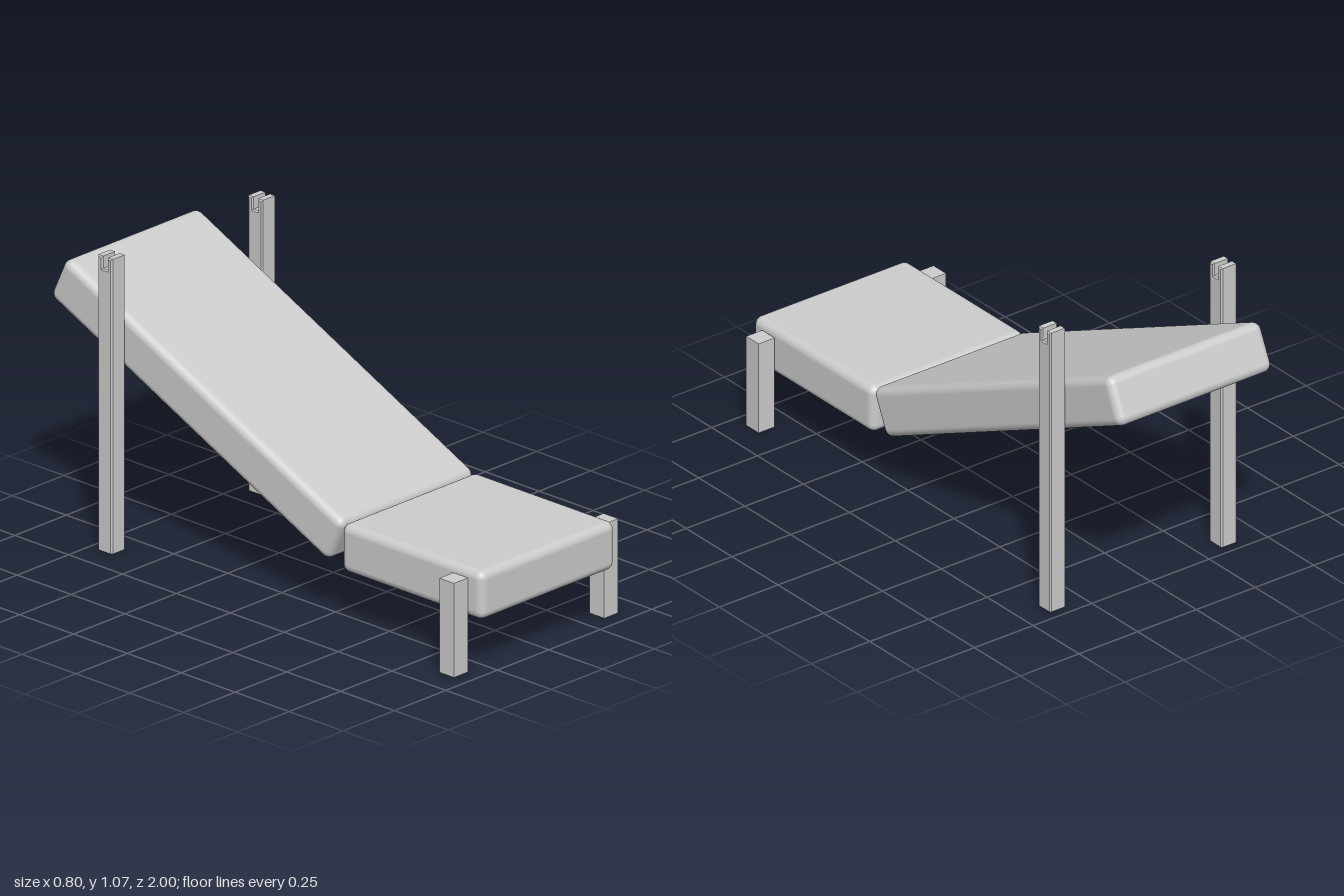
import * as THREE from 'three';
import { RoundedBoxGeometry } from 'three/addons/geometries/RoundedBoxGeometry.js';

const material = new THREE.MeshStandardMaterial({ color: 0xcccccc });

function addMesh(group, name, geometry, x, y, z) {
  const mesh = new THREE.Mesh(geometry, material);
  mesh.name = name;
  mesh.position.set(x, y, z);
  group.add(mesh);
  return mesh;
}

// Tall post: notched side profile extruded across x, bevelled edges, open at the foot
function postGeometry(width, height, notchWidth, notchDepth, bevel) {
  const h = width / 2 - bevel;
  const n = notchWidth / 2 + bevel;
  const top = height - bevel;
  const floor = height - notchDepth - bevel;
  const shape = new THREE.Shape([
    [-h, 0], [h, 0], [h, top], [n, top], [n, floor], [-n, floor], [-n, top], [-h, top],
  ].map(([x, y]) => new THREE.Vector2(x, y)));
  const solid = new THREE.ExtrudeGeometry(shape, {
    depth: width - 2 * bevel, bevelEnabled: true,
    bevelSize: bevel, bevelThickness: bevel, bevelSegments: 1,
  });
  solid.translate(0, 0, -h).rotateY(Math.PI / 2);

  // Trim the foot flat at the ground and leave out its bottom faces
  const p = solid.getAttribute('position');
  const kept = [];
  for (let i = 0; i < p.count; i += 3) {
    const corners = [i, i + 1, i + 2].map((k) => [p.getX(k), Math.max(p.getY(k), 0), p.getZ(k)]);
    if (corners.some((c) => c[1] > 0.001)) kept.push(...corners.flat());
  }
  const geometry = new THREE.BufferGeometry();
  geometry.setAttribute('position', new THREE.Float32BufferAttribute(kept, 3));
  geometry.computeVertexNormals();
  return geometry;
}

export function createModel() {
  const group = new THREE.Group();
  group.name = 'lounger';

  // Cushions
  const width = 0.655;
  const thickness = 0.175;
  addMesh(group, 'seatCushion',
    new RoundedBoxGeometry(width, thickness, 0.655, 5, 0.03), 0, 0.283, 0.673);
  const back = addMesh(group, 'backCushion',
    new RoundedBoxGeometry(width, thickness, 1.425, 5, 0.03), 0, 0.591, -0.328);
  back.rotation.x = THREE.MathUtils.degToRad(25);

  // Short front legs and tall notched rear posts
  const leg = new THREE.BoxGeometry(0.068, 0.341, 0.068);
  const post = postGeometry(0.067, 1.067, 0.022, 0.045, 0.005);
  for (const [side, s] of [['left', 1], ['right', -1]]) {
    addMesh(group, side + 'FrontLeg', leg, s * 0.365, 0.1705, 0.907);
    addMesh(group, side + 'RearPost', post, s * 0.365, 0, -0.68);
  }
  return group;
}
